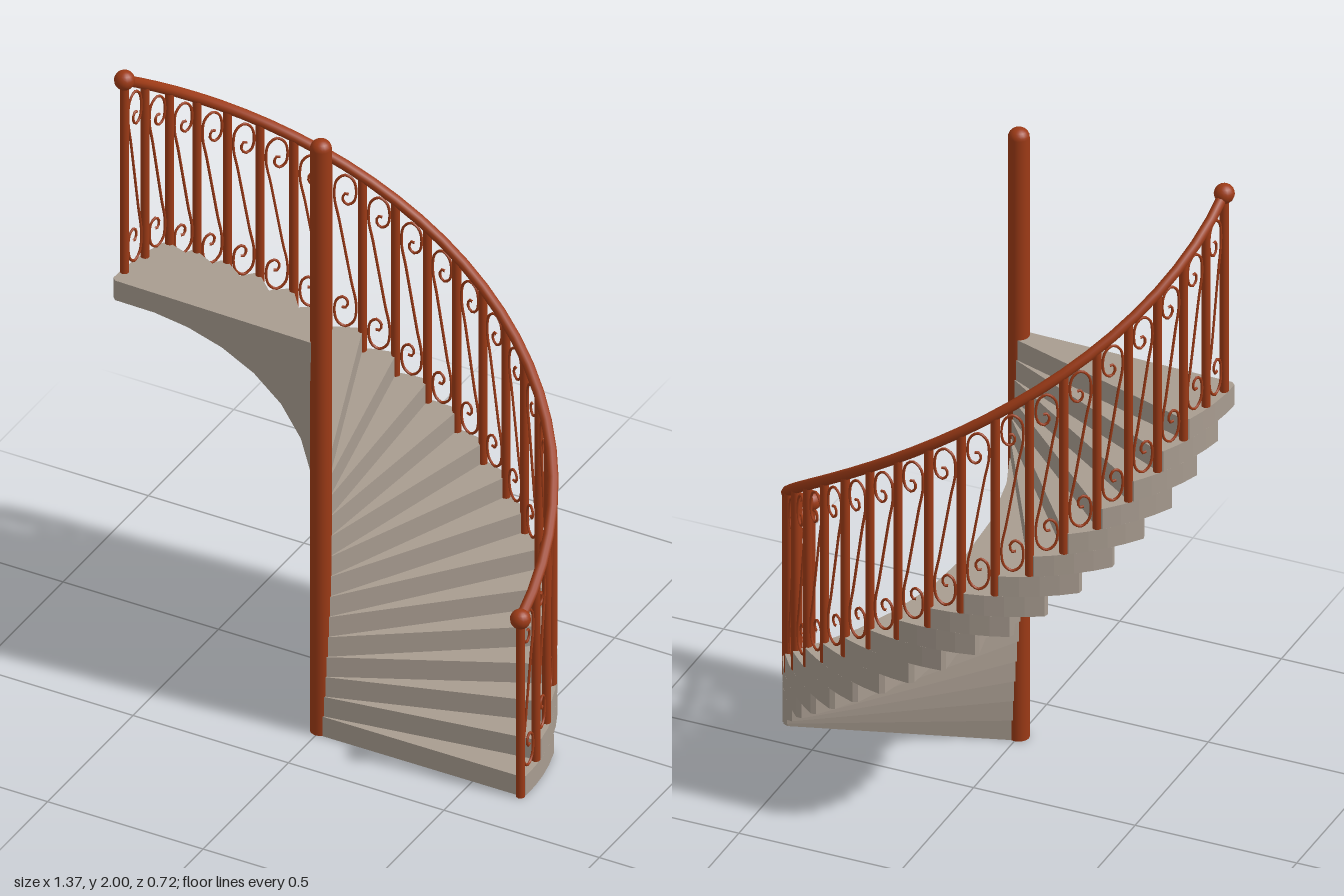
import * as THREE from 'three';

const STEPS = 20, RISE = 0.066, TURN = 8.5, START = -2, SPAN = 21.6;
const R_STEP = 0.667, R_RAIL = 0.655, AXIS_Z = 0.31;
const RAIL_LOW = 0.6, RAIL_RISE = 0.0652, BAYS = 21;
const rad = THREE.MathUtils.degToRad;

const stone = new THREE.MeshStandardMaterial({ color: 0xa89c90 });
const iron = new THREE.MeshStandardMaterial({ color: 0x9c3a16 });

// Point at an angle (degrees) around the central pole
function polar(r, deg, y) {
  return new THREE.Vector3(r * Math.cos(rad(deg)), y, -r * Math.sin(rad(deg)));
}

function add(parent, name, geometry, material, pos) {
  const mesh = new THREE.Mesh(geometry, material);
  mesh.name = name;
  if (pos) mesh.position.copy(pos);
  parent.add(mesh);
  return mesh;
}

// Wedge tread with slightly softened outer corners
function treadGeometry() {
  const end = START + SPAN;
  const outline = [[0.025, START - 90], [R_STEP - 0.012, START]];
  for (let i = 0; i <= 4; i++) outline.push([R_STEP, START + 1 + (SPAN - 2) * i / 4]);
  outline.push([R_STEP - 0.012, end], [0.025, end + 90]);
  const shape = new THREE.Shape(outline.map(([r, a]) =>
    new THREE.Vector2(r * Math.cos(rad(a)), r * Math.sin(rad(a)))));
  const g = new THREE.ExtrudeGeometry(shape, { depth: RISE, bevelEnabled: false });
  return g.rotateX(-Math.PI / 2);
}

// S-shaped scroll, point-symmetric about its middle
function scrollGeometry() {
  const half = [[0.017, 0.1], [0.031, 0.18], [0.024, 0.232], [0, 0.25], [-0.022, 0.236],
    [-0.031, 0.2], [-0.024, 0.163], [-0.006, 0.153], [0.007, 0.168], [0.002, 0.188], [-0.01, 0.187]];
  const points = [
    ...half.map(([x, y]) => new THREE.Vector3(-x, -y, 0)).reverse(),
    new THREE.Vector3(),
    ...half.map(([x, y]) => new THREE.Vector3(x, y, 0)),
  ];
  return new THREE.TubeGeometry(new THREE.CatmullRomCurve3(points), 80, 0.004, 6);
}

export function createModel() {
  const model = new THREE.Group();
  model.name = 'spiralStaircase';
  const stair = new THREE.Group();
  stair.name = 'stair';
  stair.position.z = AXIS_Z;
  model.add(stair);

  // Central pole with a domed top
  const profile = [new THREE.Vector2(0, 0), new THREE.Vector2(0.031, 0)];
  for (let i = 0; i <= 6; i++) {
    const a = i / 6 * Math.PI / 2;
    profile.push(new THREE.Vector2(0.031 * Math.cos(a), 1.972 + 0.028 * Math.sin(a)));
  }
  add(stair, 'centralPole', new THREE.LatheGeometry(profile, 20), iron);

  // Overlapping treads
  const treads = new THREE.Group();
  treads.name = 'treads';
  stair.add(treads);
  const tread = treadGeometry();
  for (let i = 0; i < STEPS; i++) {
    const step = add(treads, 'tread', tread, stone, new THREE.Vector3(0, i * RISE, 0));
    step.rotation.y = rad(i * TURN);
  }

  // Railing: posts and scrolls
  const railing = new THREE.Group();
  railing.name = 'railing';
  stair.add(railing);
  const railPoint = t => polar(R_RAIL, START + t * TURN, RAIL_LOW + t * RAIL_RISE);
  const scroll = scrollGeometry();
  for (let i = 0; i <= BAYS; i++) {
    const top = railPoint(i), bottom = Math.min(i, STEPS) * RISE;
    const height = top.y - bottom;
    add(railing, 'post', new THREE.CylinderGeometry(0.013, 0.013, height, 10), iron,
      new THREE.Vector3(top.x, bottom + height / 2, top.z));
    if (i === BAYS) continue;
    const angle = START + (i + 0.5) * TURN;
    const floor = Math.min(i + 1, STEPS) * RISE;
    const roof = railPoint(i + 0.5).y - 0.02;
    const s = add(railing, 'scroll', scroll, iron,
      polar(R_RAIL * Math.cos(rad(TURN / 2)), angle, (floor + roof) / 2));
    s.scale.y = (roof - floor - 0.025) / 0.5;
    s.rotation.y = rad(angle + 90);
  }

  // Helical handrail with ball ends
  class Helix extends THREE.Curve {
    getPoint(t, target = new THREE.Vector3()) {
      return target.copy(railPoint(t * BAYS));
    }
  }
  add(railing, 'handrail', new THREE.TubeGeometry(new Helix(), 28, 0.016, 10), iron);
  const ball = new THREE.SphereGeometry(0.03, 16, 12);
  for (const t of [0, BAYS]) add(railing, 'railBall', ball, iron, railPoint(t));

  return model;
}
